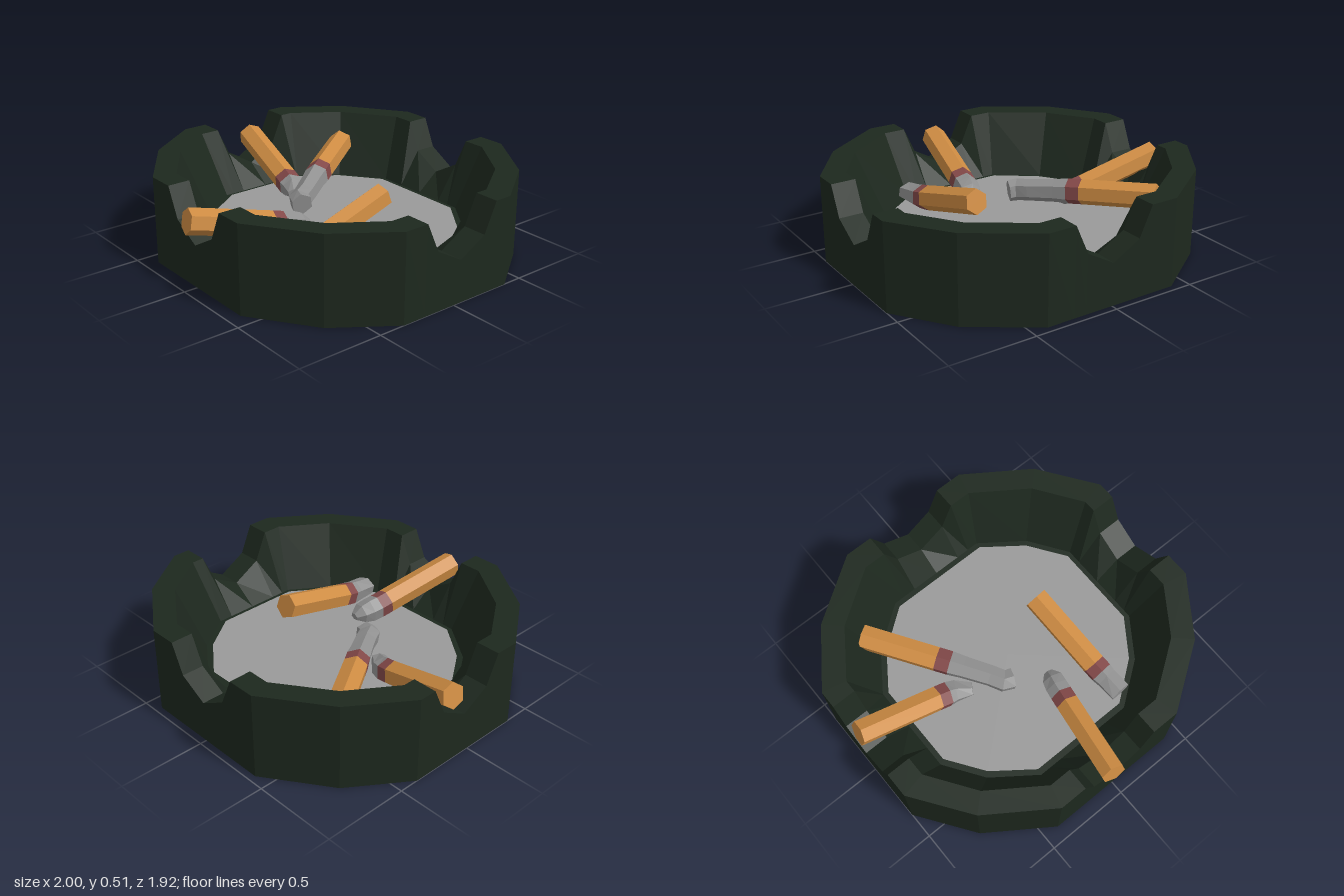
import * as THREE from 'three';

const mat = (name, color) => Object.assign(new THREE.MeshStandardMaterial({ color }), { name });
const V = (x, y, z) => new THREE.Vector3(x, y, z);

// Separate corners per face, so every facet is flat shaded
function facets(name, tris, material) {
  const g = new THREE.BufferGeometry().setFromPoints(tris);
  g.computeVertexNormals();
  const mesh = new THREE.Mesh(g, material);
  mesh.name = name;
  return mesh;
}

const quad = (tris, a, b, c, d) => tris.push(a, b, c, a, c, d);

// Twelve-sided bowl: quarter outlines [x, z] from the side round to the front
const RIM_Y = 0.51, FLOOR_Y = 0.14;
const OUTER = [[1, 0.365], [0.77, 0.69], [0.405, 0.94]];
const INNER = [[0.858, 0.335], [0.675, 0.6], [0.372, 0.81]];
const FLOOR = [[0.71, 0.27], [0.555, 0.495], [0.31, 0.675]];
const ASH = [[0.68, 0.255], [0.53, 0.47], [0.305, 0.64]];
const NOTCH = [[-0.242, RIM_Y], [-0.165, 0.34], [0, 0.247], [0.165, 0.34], [0.242, RIM_Y]];
const QUADRANTS = [[1, 1], [-1, 1], [-1, -1], [1, -1]];

// Profile of one column: base centre, outside, rim, inside, floor centre
const column = (o, i, f, h) => [
  V(0, 0, 0), V(o[0], 0, o[1]), V(o[0], h, o[1]),
  V(i[0], h, i[1]), V(f[0], FLOOR_Y, f[1]), V(0, FLOOR_Y, 0),
];

function bowlColumns() {
  const cols = [];
  QUADRANTS.forEach(([sx, sz], q) => {
    const order = q % 2 ? [2, 1, 0] : [0, 1, 2];
    const at = (table, k) => [table[k][0] * sx, table[k][1] * sz];
    for (const k of order) cols.push(column(at(OUTER, k), at(INNER, k), at(FLOOR, k), RIM_Y));
    // Rest notch in the middle of the straight wall that follows
    const alongX = q % 2 === 0;
    const dir = q < 2 ? -1 : 1;
    const [end, axis, sign] = alongX ? [2, 1, sz] : [0, 0, sx];
    for (const [t, h] of NOTCH) {
      const along = t * dir + (alongX ? 0 : -0.02);
      const [o, i, f] = [OUTER, INNER, FLOOR].map((table) => {
        const d = table[end][axis] * sign;
        return alongX ? [along, d] : [d, along];
      });
      cols.push(column(o, i, f, h));
    }
  });
  return cols;
}

function makeBowl(green) {
  const cols = bowlColumns(), tris = [];
  cols.forEach((a, n) => {
    const b = cols[(n + 1) % cols.length];
    tris.push(a[0], a[1], b[1]);
    for (let k = 1; k < 4; k++) quad(tris, a[k], a[k + 1], b[k + 1], b[k]);
    tris.push(a[4], a[5], b[4]);
  });
  return facets('bowl', tris, green);
}

function makeAshLayer(ash) {
  const ring = QUADRANTS.flatMap(([sx, sz], q) =>
    (q % 2 ? [2, 1, 0] : [0, 1, 2]).map((k) => V(ASH[k][0] * sx, FLOOR_Y + 0.008, ASH[k][1] * sz)));
  const tris = [], centre = V(0, FLOOR_Y + 0.008, 0);
  ring.forEach((p, n) => tris.push(centre, ring[(n + 1) % ring.length], p));
  return facets('ashLayer', tris, ash);
}

// Six-sided stub along a path of [x, y, z, radius, flatten]
function makeStub(roll, path, mats) {
  const pts = path.map((p) => V(p[0], p[1], p[2]));
  const rings = pts.map((p, n) => {
    const t = pts[Math.min(n + 1, pts.length - 1)].clone().sub(pts[Math.max(n - 1, 0)]).normalize();
    const side = V(0, 1, 0).cross(t).normalize();
    const up = t.clone().cross(side);
    const [, , , r, flat = 1] = path[n];
    return Array.from({ length: 6 }, (_, j) => {
      const a = (j / 6) * Math.PI * 2 + Math.PI / 2 + roll;
      return p.clone().addScaledVector(side, r * Math.cos(a)).addScaledVector(up, r * flat * Math.sin(a));
    });
  });
  const last = rings.length - 1;
  const part = (name, from, to, material) => {
    const tris = [];
    for (let j = 0; j < 6; j++) {
      const k = (j + 1) % 6;
      for (let n = from; n < to; n++) quad(tris, rings[n][j], rings[n][k], rings[n + 1][k], rings[n + 1][j]);
      if (from === 0) tris.push(pts[0], rings[0][k], rings[0][j]);
      if (to === last) tris.push(pts[last], rings[last][j], rings[last][k]);
    }
    return facets(name, tris, material);
  };
  const g = new THREE.Group();
  g.add(part('filter', 0, 1, mats.orange), part('band', 1, 2, mats.maroon), part('burntEnd', 2, last, mats.grey));
  return g;
}

// Roll, then a path from the filter end, through the band, to the crushed tip
const R = 0.074;
const STUBS = {
  backLeftStub: [0.15, [[-0.615, 0.337, -0.575, R], [-0.365, 0.3, -0.21, R], [-0.32, 0.293, -0.145, R],
    [-0.275, 0.285, -0.08, 0.068], [-0.185, 0.265, 0.05, 0.064], [-0.145, 0.255, 0.12, 0.066], [-0.095, 0.25, 0.14, 0.064]]],
  leftStub: [0.15, [[-0.978, 0.388, -0.115, R], [-0.5, 0.245, -0.04, R], [-0.435, 0.228, -0.028, R],
    [-0.385, 0.22, -0.015, 0.066], [-0.305, 0.225, 0.035, 0.042, 0.6]]],
  frontStub: [-0.2, [[-0.045, 0.375, 0.937, R], [0.047, 0.262, 0.46, R], [0.06, 0.246, 0.395, R],
    [0.07, 0.238, 0.34, 0.073], [0.085, 0.232, 0.285, 0.068, 0.85], [0.092, 0.226, 0.235, 0.03, 0.7]]],
  rightStub: [0.15, [[0.293, 0.36, -0.125, R], [0.325, 0.225, 0.36, R], [0.33, 0.21, 0.425, R],
    [0.333, 0.205, 0.47, 0.068], [0.34, 0.2, 0.582, 0.07, 0.75]]],
};

export function createModel() {
  const mats = {
    green: mat('dark green', 0x1d281e),
    ash: mat('ash grey', 0x999999),
    grey: mat('burnt paper grey', 0x909090),
    orange: mat('filter orange', 0xcd8b42),
    maroon: mat('band maroon', 0x824848),
  };
  const model = new THREE.Group();
  model.name = 'ashtray';
  const tray = new THREE.Group();
  tray.name = 'tray';
  tray.add(makeBowl(mats.green), makeAshLayer(mats.ash));
  tray.position.z = -0.02;
  model.add(tray);
  for (const [name, [roll, path]] of Object.entries(STUBS)) {
    const stub = makeStub(roll, path, mats);
    stub.name = name;
    model.add(stub);
  }
  return model;
}
